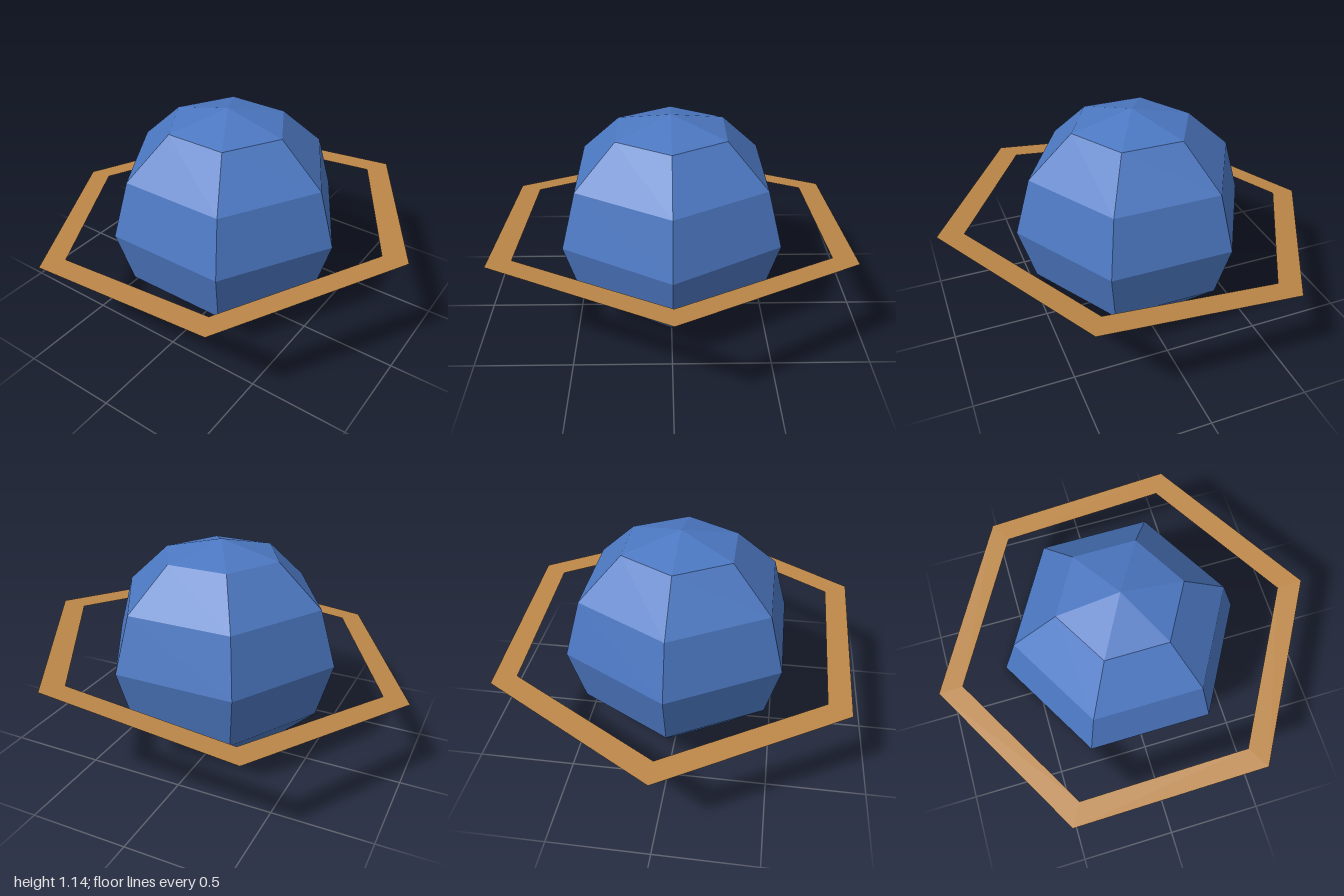
import * as THREE from 'three';

const blue = new THREE.MeshStandardMaterial({ color: 0x4c78c2, flatShading: true });
blue.name = 'planet blue';
const tan = new THREE.MeshStandardMaterial({ color: 0xbc8748, flatShading: true, side: THREE.DoubleSide });
tan.name = 'ring tan';

export function createModel() {
  const model = new THREE.Group();
  model.name = 'ringedPlanet';

  // Low-poly globe, slightly squashed vertically
  const planet = new THREE.Mesh(new THREE.SphereGeometry(0.617, 6, 6), blue);
  planet.name = 'planet';
  planet.scale.y = 0.572 / 0.617;
  planet.position.y = 0.572;
  model.add(planet);

  // Flat hexagonal ring, raised towards +x
  const ringGeometry = new THREE.RingGeometry(0.873, 1.0046, 6, 1);
  ringGeometry.rotateX(-Math.PI / 2);
  const ring = new THREE.Mesh(ringGeometry, tan);
  ring.name = 'ring';
  ring.rotation.z = Math.atan(0.095);
  ring.position.y = 0.549;
  model.add(ring);

  return model;
}
